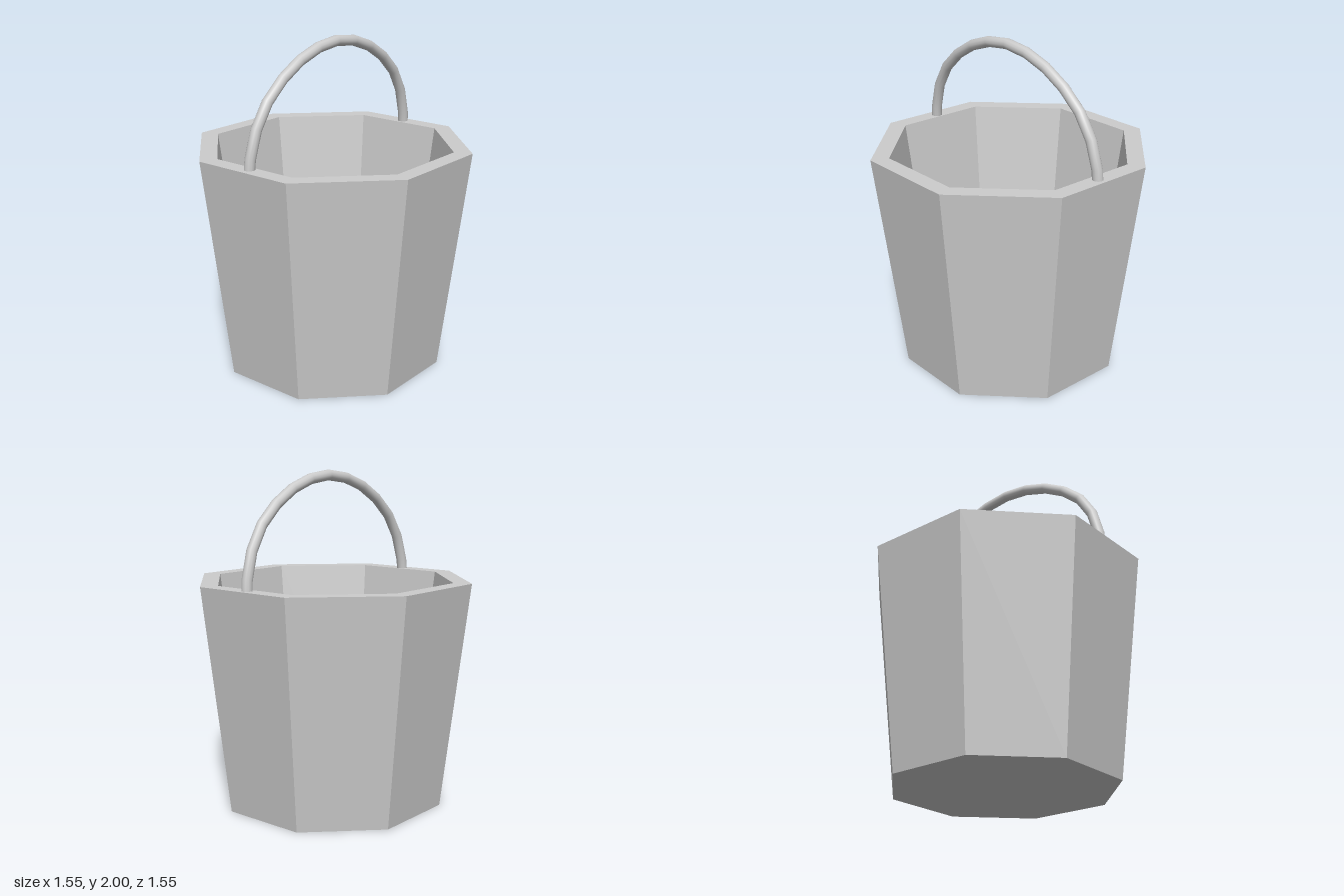
import * as THREE from 'three';

export function createModel() {
  const group = new THREE.Group();

  // Octagonal tapered bucket: [flat-to-centre distance, height], from underside to inner floor
  const toCorner = 1 / Math.cos(Math.PI / 8);
  const profile = [
    [0, 0], [0.625, 0], [0.777, 1.355], [0.677, 1.355], [0.527, 0.14], [0, 0.14],
  ].map(([a, y]) => new THREE.Vector2(a * toCorner, y));
  const bucket = new THREE.Mesh(
    new THREE.LatheGeometry(profile, 8, Math.PI / 8),
    new THREE.MeshStandardMaterial({ color: 0xcccccc, flatShading: true })
  );
  bucket.name = 'bucket';
  group.add(bucket);

  // Arched handle, leaning slightly forward, its ends sunk into the rim
  const half = [
    [0.174, 1.946], [0.327, 1.892], [0.475, 1.803],
    [0.598, 1.686], [0.682, 1.535], [0.725, 1.345], [0.727, 1.25],
  ];
  const arch = [...half.map(([x, y]) => [-x, y]).reverse(), [0, 1.968], ...half];
  const path = new THREE.CatmullRomCurve3(
    arch.map(([x, y]) => new THREE.Vector3(x + 0.004, y, 0.005 + 0.04 * (y - 1.355)))
  );
  const handle = new THREE.Mesh(
    new THREE.TubeGeometry(path, 14, 0.032, 12),
    new THREE.MeshStandardMaterial({ color: 0xcccccc })
  );
  handle.name = 'handle';
  group.add(handle);

  return group;
}
